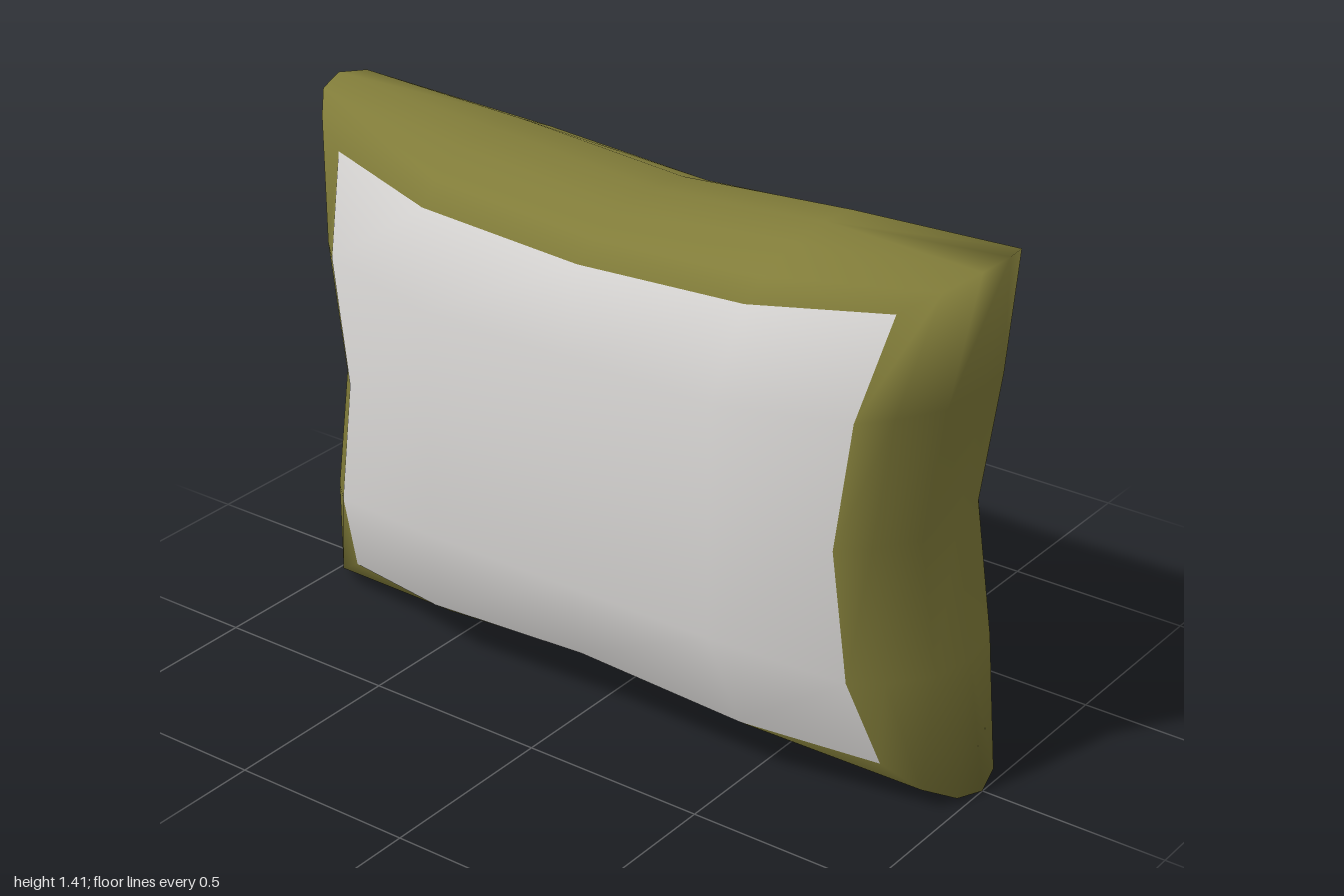
import * as THREE from 'three';
import { mergeVertices } from 'three/addons/utils/BufferGeometryUtils.js';

const MID_Y = 0.705;

// Stations for one quadrant of the panel, by grid step from the middle (0..2)
const PANEL = [
  [[0, 0, 0.355], [0, 0.31, 0.355], [0, 0.53, 0.295]],
  [[0.43, 0, 0.355], [0.43, 0.31, 0.355], [0.48, 0.555, 0.292]],
  [[0.74, 0, 0.295], [0.785, 0.34, 0.292], [0.83, 0.59, 0.2]],
];

// Outer seam: straight runs from each pinched side middle to the corners
function seamPoint(a, b) {
  return a === 2 ? [0.895 + 0.0525 * b, 0.3525 * b] : [0.5 * a, 0.63 + 0.0375 * a];
}

// Point on grid cell (i, j); ring 0 is the panel edge, ring 3 the seam
function point(i, j, ring, side) {
  const a = Math.abs(i), b = Math.abs(j);
  let [x, y, z] = PANEL[a][b];
  if (ring > 0) {
    const [sx, sy] = seamPoint(a, b);
    const inward = [1, a === 2 && b === 2 ? 0.46 : 0.57, 0.12, 0][ring];
    x = sx + (x - sx) * inward;
    y = sy + (y - sy) * inward;
    z *= [1, 0.78, 0.42, 0][ring];
  }
  return [Math.sign(i) * x, MID_Y + Math.sign(j) * y, side * z];
}

export function createModel() {
  const fabric = new THREE.MeshStandardMaterial({ color: 0x827d3a });
  fabric.name = 'olive fabric';
  const panel = new THREE.MeshStandardMaterial({ color: 0xdcdad8 });
  panel.name = 'pale grey panel';

  const positions = [];
  const quad = (a, b, c, d, side) => {
    const order = side > 0 ? [a, b, c, a, c, d] : [a, c, b, a, d, c];
    order.forEach((p) => positions.push(...p));
  };

  // Front and back panels
  for (const side of [1, -1]) {
    for (let i = -2; i < 2; i++) {
      for (let j = -2; j < 2; j++) {
        quad(point(i, j, 0, side), point(i + 1, j, 0, side),
          point(i + 1, j + 1, 0, side), point(i, j + 1, 0, side), side);
      }
    }
  }
  const panelCount = positions.length / 3;

  // Rounded border from each panel to the shared seam
  const loop = [];
  for (let k = -2; k < 2; k++) loop.push([2, k]);
  for (let k = 2; k > -2; k--) loop.push([k, 2]);
  for (let k = 2; k > -2; k--) loop.push([-2, k]);
  for (let k = -2; k < 2; k++) loop.push([k, -2]);
  for (const side of [1, -1]) {
    for (let ring = 0; ring < 3; ring++) {
      loop.forEach((p, n) => {
        const q = loop[(n + 1) % loop.length];
        quad(point(...p, ring, side), point(...p, ring + 1, side),
          point(...q, ring + 1, side), point(...q, ring, side), side);
      });
    }
  }

  // Weld so the shading runs smoothly over the whole pillow
  let geometry = new THREE.BufferGeometry();
  geometry.setAttribute('position', new THREE.Float32BufferAttribute(positions, 3));
  geometry = mergeVertices(geometry, 1e-4);
  geometry.clearGroups();
  geometry.addGroup(0, panelCount, 0);
  geometry.addGroup(panelCount, positions.length / 3 - panelCount, 1);
  geometry.computeVertexNormals();

  const pillow = new THREE.Mesh(geometry, [panel, fabric]);
  pillow.name = 'pillow';
  const model = new THREE.Group();
  model.name = 'throwPillow';
  model.add(pillow);
  return model;
}
